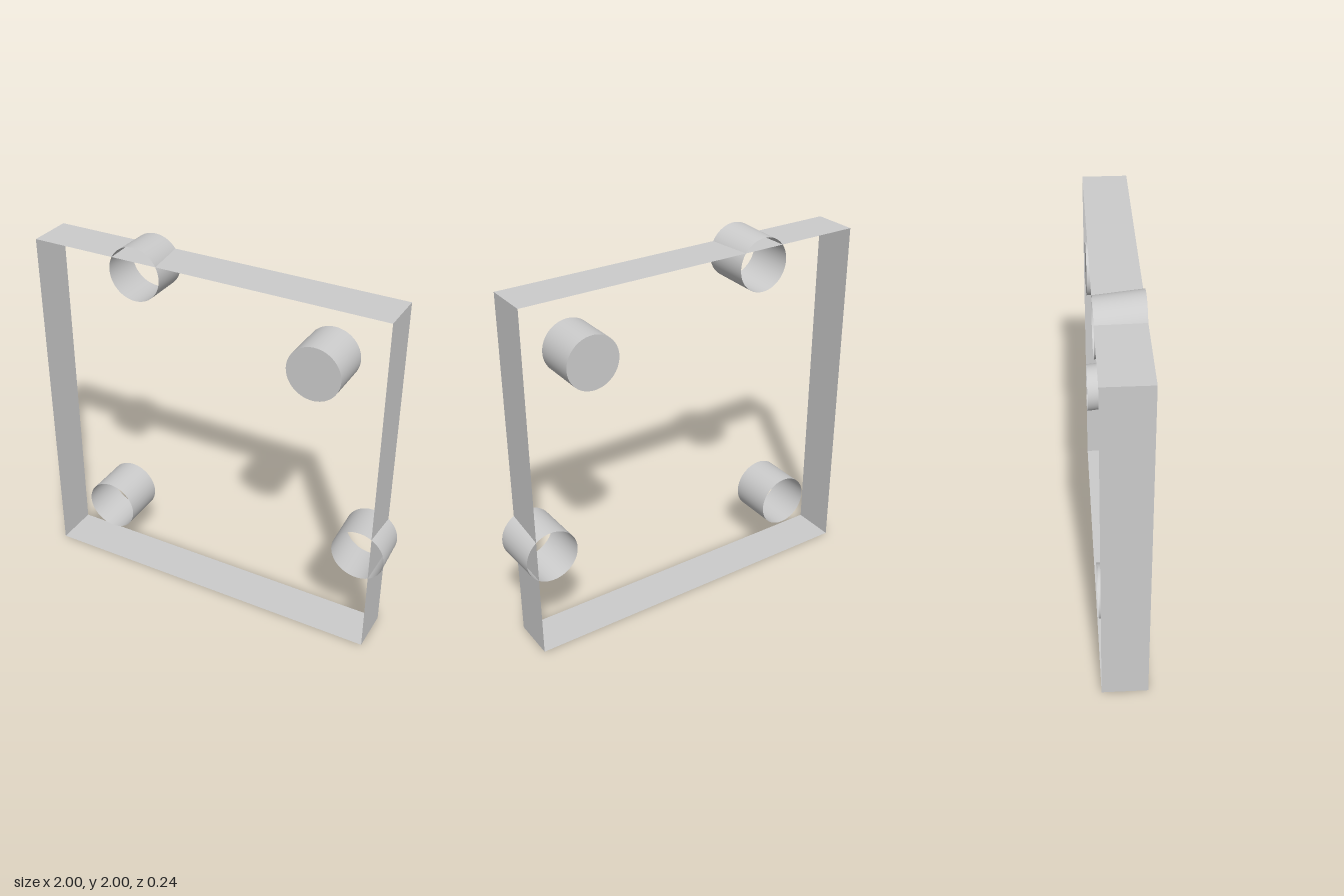
import * as THREE from 'three';

const DEPTH = 0.238;
const RADIUS = 0.1425;

export function createModel() {
  const model = new THREE.Group();
  const material = new THREE.MeshStandardMaterial({ color: 0xcccccc, side: THREE.DoubleSide });

  const add = (name, geometry, parent = model) => {
    const mesh = new THREE.Mesh(geometry, material);
    mesh.name = name;
    parent.add(mesh);
    return mesh;
  };

  // Square frame of four thin walls, open at front and back
  const frame = new THREE.Group();
  frame.name = 'squareFrame';
  model.add(frame);
  const size = 1.925, cx = -0.0375, cy = size / 2;
  ['rightWall', 'bottomWall', 'leftWall', 'topWall'].forEach((name, i) => {
    const angle = Math.PI + i * Math.PI / 2;
    const wall = new THREE.PlaneGeometry(DEPTH, size);
    wall.rotateY(Math.PI / 2).translate(size / 2, 0, 0).rotateZ(angle);
    wall.translate(cx, cy, 0);
    add(name, wall, frame);
  });

  // Round sleeve along z; lean shifts its front end against its back end
  const sleeve = (name, x, y, { lean = 0, capped = false } = {}) => {
    const geometry = new THREE.CylinderGeometry(RADIUS, RADIUS, DEPTH, 64, 1, !capped);
    geometry.rotateX(Math.PI / 2);
    const k = lean / DEPTH;
    geometry.applyMatrix4(new THREE.Matrix4().set(
      1, 0, k, x,
      0, 1, k, y,
      0, 0, 1, 0,
      0, 0, 0, 1));
    add(name, geometry);
  };

  sleeve('topSleeve', -0.424, 1.849, { lean: 0.017 });
  sleeve('sideSleeve', 0.849, 0.582, { lean: 0.017 });
  sleeve('lowerSleeve', -0.64, 0.364);
  sleeve('solidPeg', 0.5625, 1.567, { capped: true });

  return model;
}
